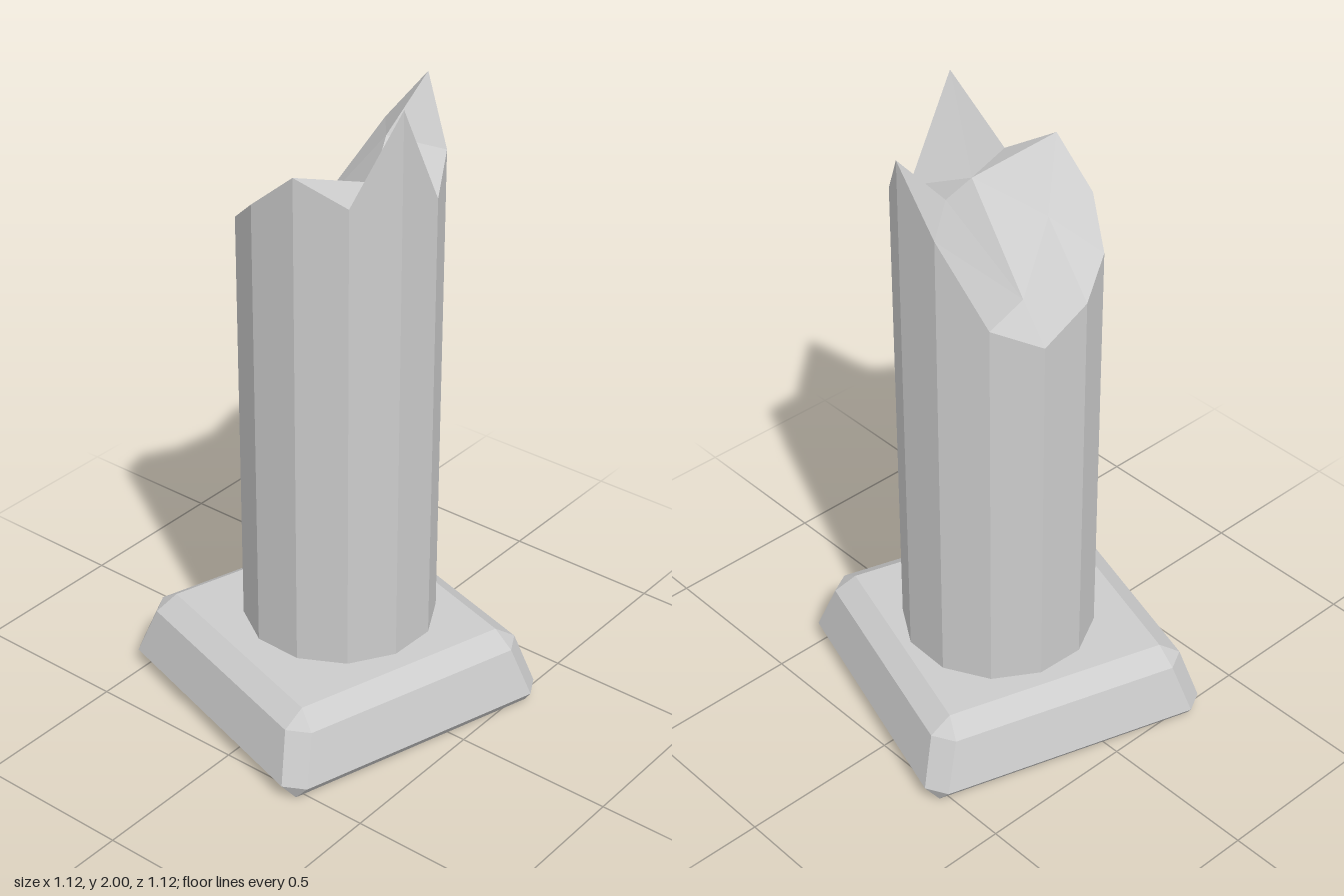
import * as THREE from 'three';

const material = () => new THREE.MeshStandardMaterial({ color: 0xcccccc, flatShading: true });

// Collects polygons (corners counter-clockwise from outside) into a flat-shaded mesh
function facetedMesh(name, polygons) {
  const pos = [];
  for (const p of polygons) {
    for (let i = 1; i < p.length - 1; i++) pos.push(...p[0], ...p[i], ...p[i + 1]);
  }
  const g = new THREE.BufferGeometry();
  g.setAttribute('position', new THREE.Float32BufferAttribute(pos, 3));
  g.computeVertexNormals();
  const mesh = new THREE.Mesh(g, material());
  mesh.name = name;
  return mesh;
}

// Eight-corner ring of a chamfered square; equal half and cut make sharp corners
function squareRing(half, cut, y) {
  const ring = [];
  for (let k = 0; k < 4; k++) {
    const c = [1, 0, -1, 0][k], s = [0, 1, 0, -1][k];
    for (const [x, z] of [[half, cut], [cut, half]]) ring.push([x * c - z * s, y, x * s + z * c]);
  }
  return ring;
}

// Walls between two rings
function walls(low, high) {
  return low.map((p, i) => {
    const j = (i + 1) % low.length;
    return [p, high[i], high[j], low[j]];
  });
}

function createPlinth() {
  const rings = [
    squareRing(0.422, 0.422, 0),
    squareRing(0.463, 0.41, 0.05),
    squareRing(0.418, 0.363, 0.205),
    squareRing(0.352, 0.352, 0.25),
  ];
  const faces = [rings[0], [...rings[3]].reverse()];
  for (let i = 0; i < 3; i++) faces.push(...walls(rings[i], rings[i + 1]));
  const plinth = facetedMesh('plinth', faces);
  plinth.rotation.y = -THREE.MathUtils.degToRad(16.8);
  return plinth;
}

function createBrokenColumn() {
  // Jagged rim heights around the twelve-sided shaft
  const heights = [1.945, 1.77, 1.69, 2, 1.735, 1.815, 1.69, 1.585, 1.515, 1.435, 1.51, 1.765];
  const low = [], rim = [];
  heights.forEach((h, i) => {
    const a = THREE.MathUtils.degToRad(16.8 + i * 30);
    const x = 0.028 + 0.296 * Math.cos(a), z = 0.296 * Math.sin(a);
    low.push([x, 0.24, z]);
    rim.push([x, h, z]);
  });

  // Fracture surface: a three by three patch around four inner points
  const inner = [[0.175, 1.785, 0.045], [-0.01, 1.735, 0.145], [-0.115, 1.655, -0.054], [0.07, 1.51, -0.15]];
  const cap = [[inner[3], inner[2], inner[1], inner[0]]];
  for (let k = 0; k < 4; k++) {
    const r = (n) => rim[(3 * k + n + 12) % 12];
    cap.push([inner[k], r(1), r(0), r(-1)]);
    cap.push([inner[k], inner[(k + 1) % 4], r(2), r(1)]);
  }

  const column = new THREE.Group();
  column.name = 'brokenColumn';
  column.add(facetedMesh('shaft', walls(low, rim)), facetedMesh('fracture', cap));
  return column;
}

export function createModel() {
  const model = new THREE.Group();
  model.name = 'ruinedPillar';
  model.add(createPlinth(), createBrokenColumn());
  return model;
}
